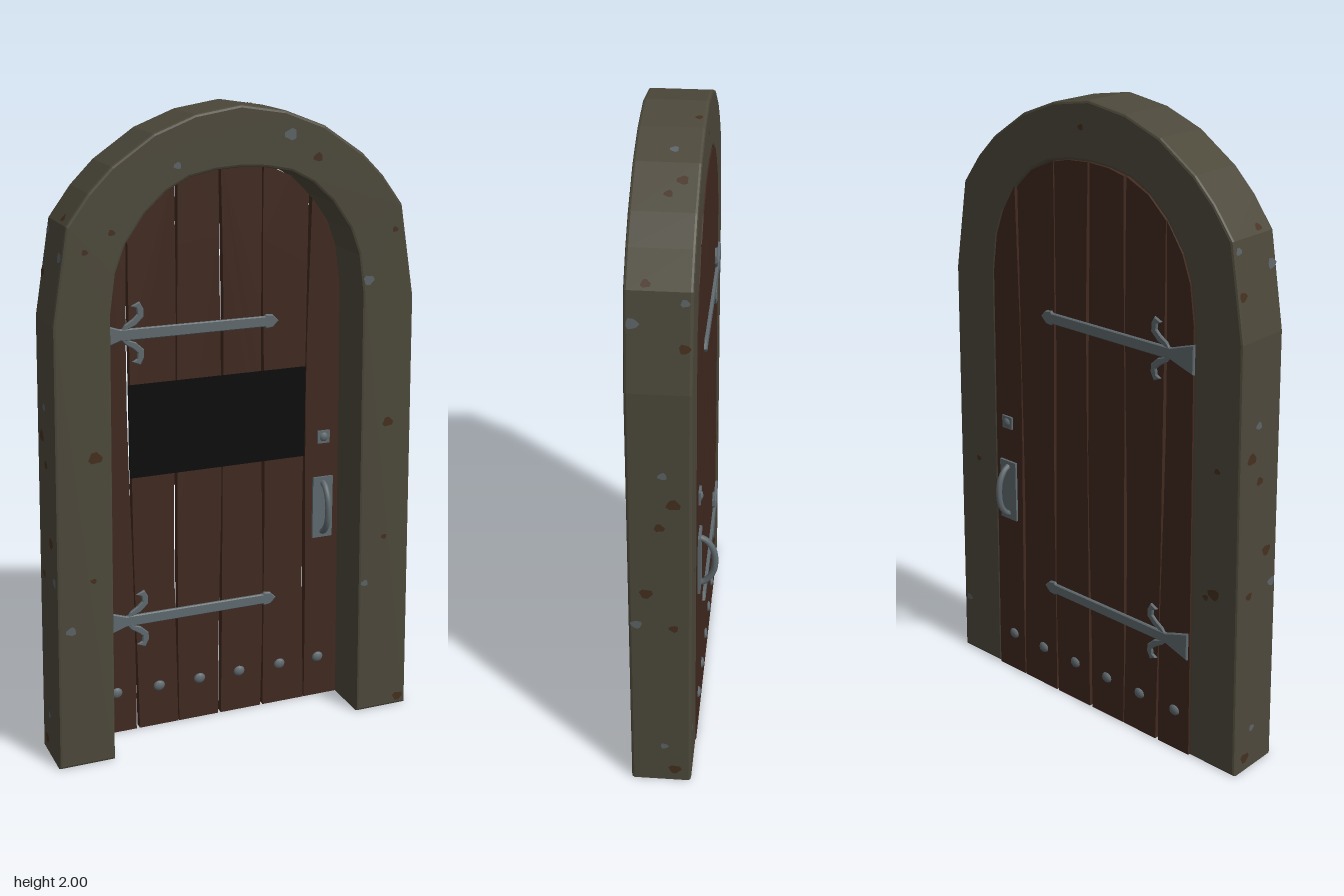
import * as THREE from 'three';

const mat = (name, color) => {
  const m = new THREE.MeshStandardMaterial({ color });
  m.name = name;
  return m;
};

const BACK = -0.062, FRONT = 0.123;          // frame depth
const DOOR_BACK = -0.064, DOOR_FRONT = -0.04; // door leaf depth

// Half outlines (x, y) from the foot to the crown
const OUTER = [[0.6, 0], [0.575, 1.4], [0.527, 1.685], [0.46, 1.775], [0.39, 1.845], [0.265, 1.93], [0.14, 1.978], [0, 2]];
const INNER = [[0.42, 0], [0.402, 1.42], [0.385, 1.54], [0.355, 1.62], [0.295, 1.705], [0.23, 1.765], [0.16, 1.802], [0.08, 1.818], [0, 1.823]];

// Full arch, left to right in x
const arch = (half) => [
  ...half.map(([x, y]) => [-x, y]),
  ...half.slice(0, -1).reverse(),
];
const toShape = (pts) => new THREE.Shape(pts.map(([x, y]) => new THREE.Vector2(x, y)));

function lerpAt(pts, x) {
  for (let i = 1; i < pts.length; i++) {
    const [x0, y0] = pts[i - 1], [x1, y1] = pts[i];
    if (x <= x1) return y0 + (y1 - y0) * (x - x0) / (x1 - x0);
  }
  return 0;
}

export function createModel() {
  const root = new THREE.Group();
  root.name = 'archedDoor';
  const stone = mat('stone', 0x4c483a);
  const wood = mat('wood', 0x40291f);
  const iron = mat('iron', 0x5f696e);
  const black = mat('blackPanel', 0x0b0b0b);
  const greyChip = mat('greyChip', 0x5c6266);
  const rust = mat('brownStain', 0x45301f);

  const add = (parent, name, geo, material, x = 0, y = 0, z = 0) => {
    const m = new THREE.Mesh(geo, material);
    m.name = name;
    m.position.set(x, y, z);
    parent.add(m);
    return m;
  };

  // Stone arch frame with a small bevel
  const b = 0.008;
  const frameGeo = new THREE.ExtrudeGeometry(toShape([...arch(OUTER), ...arch(INNER).reverse()]), {
    depth: FRONT - BACK - 2 * b, bevelEnabled: true, bevelThickness: b, bevelSize: b, bevelOffset: -b, bevelSegments: 2,
  });
  add(root, 'archFrame', frameGeo, stone, 0, 0, BACK + b);

  // Six planks with slightly wavering gaps
  const top = arch(INNER);
  const seams = [-0.42, -0.295, -0.147, 0, 0.143, 0.295, 0.42];
  const gap = (i, y) => 0.004 + 0.0022 * Math.sin(i * 2.3 + y * 5);
  const drift = (i, y) => i === 0 || i === 6 ? 0 : 0.006 * Math.sin(i * 1.7 + y * 2.6);
  const planks = new THREE.Group();
  planks.name = 'planks';
  root.add(planks);
  for (let i = 0; i < 6; i++) {
    const edge = (k, side) => {
      if (k === 0 || k === 6) return [];
      const h = lerpAt(top, seams[k]), pts = [];
      for (let j = 0; j <= 8; j++) {
        const y = h * j / 8;
        pts.push([seams[k] + drift(k, y) + side * gap(k, y), y]);
      }
      return pts;
    };
    const right = edge(i + 1, -1), left = edge(i, 1);
    const crown = top.filter(([x]) => x > seams[i] + (i ? 0.02 : -0.01) && x < seams[i + 1] - (i < 5 ? 0.02 : -0.01));
    const outline = [...right, ...crown.reverse(), ...left.reverse()];
    const geo = new THREE.ExtrudeGeometry(toShape(outline), { depth: DOOR_FRONT - DOOR_BACK, bevelEnabled: false });
    add(planks, 'plank', geo, wood, 0, 0, DOOR_BACK);
  }

  // Black panel on the front of the leaf
  add(root, 'blackPanel', new THREE.BoxGeometry(0.587, 0.295, 0.009), black, -0.013, 1.017, -0.024);

  // Ironwork for one face; s mirrors x so both faces line up
  const ironwork = (name, s) => {
    const g = new THREE.Group();
    g.name = name;
    const plate = (pts, depth) => new THREE.ExtrudeGeometry(toShape(pts.map(([x, y]) => [x * s, y])), {
      depth: depth - 0.003, bevelEnabled: true, bevelThickness: 0.003, bevelSize: 0.003, bevelOffset: -0.003, bevelSegments: 1,
    });
    const halfStrap = [[-0.41, 0.046], [-0.36, 0.03], [-0.325, 0.018], [0.145, 0.017], [0.15, 0.023], [0.172, 0.02]];
    const strap = [...halfStrap, [0.192, 0], ...halfStrap.map(([x, y]) => [x, -y]).reverse()];
    for (const y of [0.387, 1.32]) {
      add(g, 'hingeStrap', plate(strap, 0.009), iron, 0, y, 0);
      // Curled leaf above and below the strap
      for (const d of [1, -1]) {
        const curl = [[-0.325, 0.008], [-0.275, 0.026], [-0.25, 0.05], [-0.25, 0.075], [-0.262, 0.098], [-0.288, 0.086],
          [-0.272, 0.078], [-0.27, 0.06], [-0.285, 0.046], [-0.31, 0.03]];
        add(g, 'hingeCurl', plate(curl.map(([x, v]) => [x, v * d]), 0.008), iron, 0, y, 0);
      }
    }
    // Rivet row
    for (const x of [-0.36, -0.215, -0.075, 0.065, 0.21, 0.35]) {
      add(g, 'rivet', new THREE.SphereGeometry(0.02, 8, 6), iron, x * s, 0.14, 0).scale.set(1, 0.9, 0.5);
    }
    // Lock stud, handle plate and bowed grip
    add(g, 'lockPlate', new THREE.BoxGeometry(0.042, 0.042, 0.008), iron, 0.355 * s, 0.92, 0.003);
    add(g, 'lockStud', new THREE.SphereGeometry(0.016, 8, 6), iron, 0.355 * s, 0.92, 0.004).scale.z = 0.6;
    add(g, 'handlePlate', new THREE.BoxGeometry(0.07, 0.208, 0.01), iron, 0.355 * s, 0.68, 0.003);
    const bow = new THREE.CatmullRomCurve3([[-0.086, 0], [-0.078, 0.02], [-0.045, 0.043], [0, 0.05], [0.045, 0.043], [0.078, 0.02], [0.086, 0]]
      .map(([y, z]) => new THREE.Vector3(0, y, z)));
    add(g, 'handleGrip', new THREE.TubeGeometry(bow, 20, 0.01, 8), iron, 0.355 * s, 0.68, 0);
    root.add(g);
    return g;
  };
  ironwork('frontIronwork', 1).position.z = DOOR_FRONT;
  const rear = ironwork('backIronwork', -1);
  rear.position.z = DOOR_BACK;
  rear.rotation.y = Math.PI;

  // Chips and stains: thin irregular flakes laid on the frame
  const flake = (p, n, r, material) => {
    const pts = [];
    for (let i = 0; i < 9; i++) {
      const a = i / 9 * Math.PI * 2, q = r * (0.9 + 0.15 * Math.sin(i * 2.1 + p.y * 9));
      pts.push([Math.cos(a) * q, Math.sin(a) * q * 0.85]);
    }
    const m = add(root, material === rust ? 'stain' : 'chip', new THREE.ShapeGeometry(toShape(pts)), material);
    m.position.copy(p).addScaledVector(n, 0.0015);
    m.lookAt(m.position.clone().add(n));
  };
  const G = greyChip, R = rust;
  const V = (x, y, z) => new THREE.Vector3(x, y, z);

  // Front face: x, y, radius, colour
  for (const [x, y, r, c] of [[0.155, 1.91, 0.022, G], [0.243, 1.84, 0.017, R], [-0.195, 1.838, 0.013, G], [-0.395, 1.66, 0.012, R],
    [-0.475, 1.61, 0.011, R], [0.505, 1.61, 0.011, R], [0.42, 1.46, 0.02, G], [-0.46, 1.0, 0.024, R], [0.5, 1.0, 0.02, R],
    [-0.475, 0.613, 0.011, R], [0.5, 0.613, 0.011, R], [-0.55, 0.46, 0.018, G], [0.435, 0.46, 0.014, G],
    [0.57, 0.03, 0.02, R]]) {
    flake(V(x, y, FRONT), V(0, 0, 1), r, c);
  }
  // Back face
  for (const [x, y, r, c] of [[0.5, 0.75, 0.012, R], [-0.5, 0.6, 0.024, R], [-0.47, 0.58, 0.012, R], [-0.5, 1.0, 0.012, R],
    [0.57, 0.2, 0.015, G], [0.03, 1.92, 0.012, R]]) {
    flake(V(x, y, BACK), V(0, 0, -1), r, c);
  }
  // Both flanks, following the lean of the legs: z, y, radius, colour
  for (const s of [1, -1]) {
    for (const [z, y, r, c] of [[0.065, 1.7, 0.015, R], [-0.04, 1.655, 0.014, G], [0.1, 1.595, 0.02, G], [-0.04, 1.53, 0.018, R],
      [0.02, 1.14, 0.015, G], [-0.01, 1.045, 0.023, R], [0.03, 0.965, 0.017, R], [0.07, 0.73, 0.022, R], [0.1, 0.615, 0.019, G],
      [-0.01, 0.605, 0.016, R], [0.02, 0.14, 0.014, G], [-0.012, 0.045, 0.022, R]]) {
      const k = OUTER.findIndex((p) => p[1] >= y);
      const [x0, y0] = OUTER[k - 1], [x1, y1] = OUTER[k];
      const x = x0 + (x1 - x0) * (y - y0) / (y1 - y0);
      flake(V(s * x, y, z), V(s * (y1 - y0), x0 - x1, 0).normalize(), r, c);
    }
  }
  // Top of the arch: x, z, radius, colour
  for (const [x, z, r, c] of [[0.22, 0.015, 0.014, G], [0.31, -0.015, 0.018, R], [0.345, 0.02, 0.014, R], [0.09, -0.04, 0.012, R]]) {
    const k = OUTER.findIndex((p) => p[0] <= x);
    const [x0, y0] = OUTER[k - 1], [x1, y1] = OUTER[k];
    flake(V(x, y0 + (y1 - y0) * (x - x0) / (x1 - x0), z), V(y1 - y0, x0 - x1, 0).normalize(), r, c);
  }
  return root;
}
